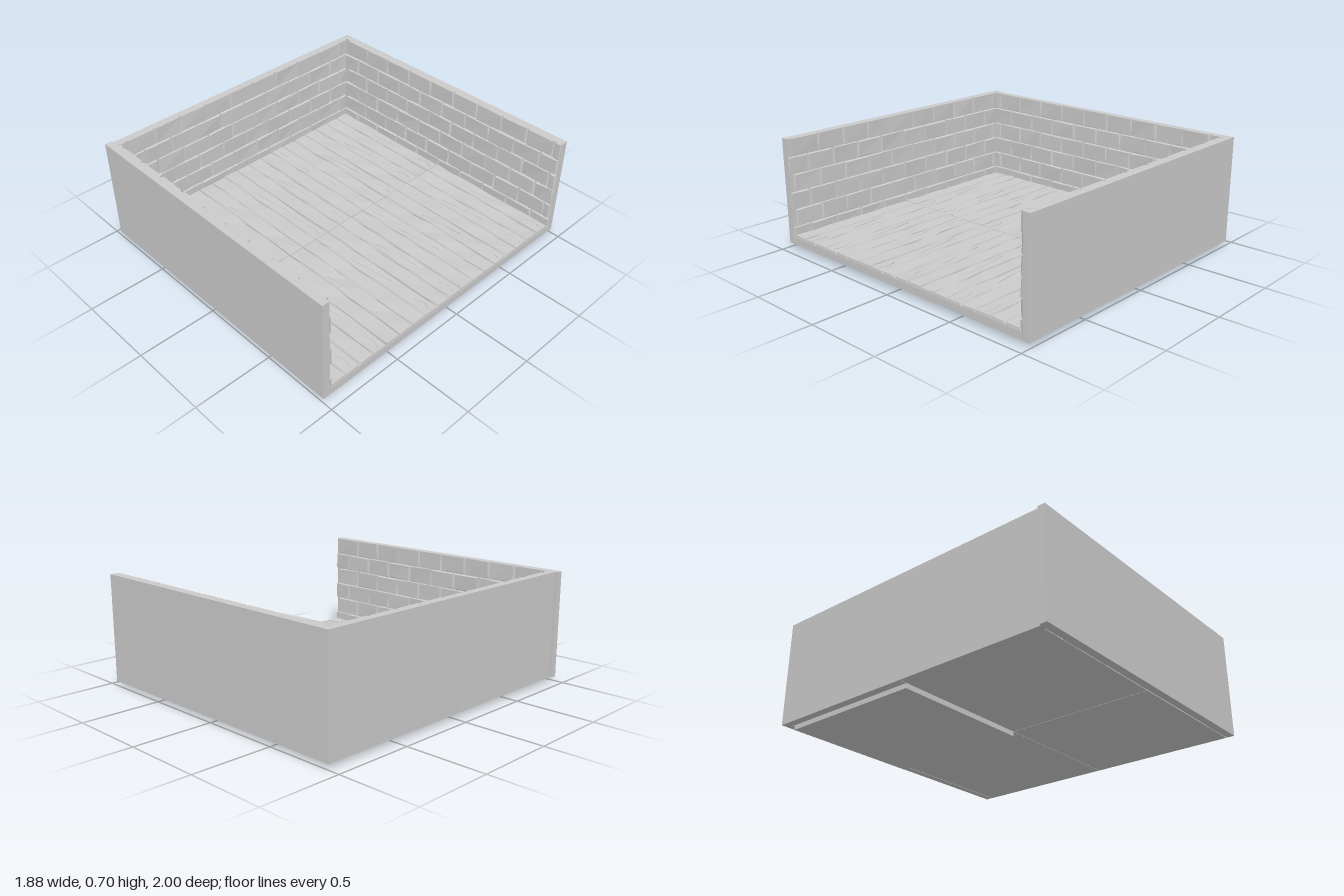
import * as THREE from 'three';
import { mergeGeometries } from 'three/addons/utils/BufferGeometryUtils.js';

const TOP = 0.705, BASE = 0.03;
const material = new THREE.MeshStandardMaterial({ color: 0xcccccc, flatShading: true });

// Small seeded generator, returns -1..1
function seeded(seed) {
  let s = seed;
  return () => {
    s = (s * 16807) % 2147483647;
    return (s / 2147483647) * 2 - 1;
  };
}

function addBox(parent, name, x0, x1, y0, y1, z0, z1) {
  const mesh = new THREE.Mesh(new THREE.BoxGeometry(x1 - x0, y1 - y0, z1 - z0), material);
  mesh.position.set((x0 + x1) / 2, (y0 + y1) / 2, (z0 + z1) / 2);
  mesh.name = name;
  parent.add(mesh);
}

// Rough brick facing +z: outer corners pulled in and shifted unevenly
function brick(x0, x1, y0, y1, depth, rand) {
  const g = new THREE.BoxGeometry(x1 - x0, y1 - y0, depth).toNonIndexed();
  const p = g.attributes.position;
  const corners = [0, 1, 2, 3].map(() => [
    0.006 + 0.005 * rand(), 0.004 + 0.003 * rand(), 0.003 * rand()]);
  for (let i = 0; i < p.count; i++) {
    if (p.getZ(i) < 0) continue;
    const sx = Math.sign(p.getX(i)), sy = Math.sign(p.getY(i));
    const c = corners[(sx > 0 ? 1 : 0) + (sy > 0 ? 2 : 0)];
    const topEdge = y1 > TOP - 0.01 && sy > 0;
    p.setXYZ(i, p.getX(i) - sx * c[0], p.getY(i) - (topEdge ? 0 : sy * c[1]), p.getZ(i) + c[2]);
  }
  g.translate((x0 + x1) / 2, (y0 + y1) / 2, depth / 2);
  return g;
}

// Six courses of running bond along x, clipped to the ends
function brickwork(name, x0, x1, seed) {
  const rand = seeded(seed), parts = [];
  const pitch = 0.195, rowH = (TOP - BASE) / 6, gap = 0.002;
  for (let row = 0; row < 6; row++) {
    const yTop = TOP - row * rowH;
    const shift = row % 2 ? 0 : 0.085;
    for (let k = -6; k <= 6; k++) {
      const a = Math.max(x0, k * pitch + shift + gap);
      const b = Math.min(x1, (k + 1) * pitch + shift - gap);
      if (b - a < 0.03) continue;
      const y1 = row ? yTop - gap : yTop;
      parts.push(brick(a, b, yTop - rowH + gap, y1, 0.015, rand));
    }
  }
  const mesh = new THREE.Mesh(mergeGeometries(parts), material);
  mesh.name = name;
  return mesh;
}

// Plank with wavy long edges and a bevelled, slightly uneven top
function plank(length, width, rand) {
  const n = 7;
  const g = new THREE.BoxGeometry(length, 0.022, width, n, 1, 1);
  const p = g.attributes.position;
  const wave = Array.from({ length: n + 1 }, () => [rand(), rand(), rand(), rand()]);
  for (let i = 0; i < p.count; i++) {
    if (p.getY(i) < 0) continue;
    const w = wave[Math.round((p.getX(i) / length + 0.5) * n)];
    const side = p.getZ(i) > 0 ? 1 : 0;
    p.setZ(i, p.getZ(i) + (side ? -1 : 1) * (0.007 + 0.006 * w[side]));
    p.setY(i, p.getY(i) + 0.003 * w[2 + side]);
    p.setX(i, p.getX(i) * 0.994);
  }
  return g.toNonIndexed();
}

// Thin raised splinter lying along the grain
function splinter(x0, z0, x1, z1) {
  const g = new THREE.BoxGeometry(Math.hypot(x1 - x0, z1 - z0), 0.005, 0.003);
  g.rotateY(-Math.atan2(z1 - z0, x1 - x0));
  g.translate((x0 + x1) / 2, 0.011, (z0 + z1) / 2);
  return g.toNonIndexed();
}

// One column of floor boards, 18 deep
function floorBoards(name, length) {
  const rand = seeded(4711), parts = [], count = 18, pitch = 1.885 / count;
  for (let i = 0; i < count; i++) {
    const pieces = [plank(length, pitch, rand)];
    if (i % 2 === 0) {
      const end = i % 6 === 0 && i > 0 ? -0.38 : 0.38;
      const d = end < 0 ? 0.018 : -0.018;
      pieces.push(
        splinter(-0.17, 0.02, 0.13, -0.012),
        splinter(end - 0.06, 0, end, d),
        splinter(end, d, end + 0.06, 0));
    }
    const z = -0.9425 + (i + 0.5) * pitch;
    pieces.forEach((g) => parts.push(g.translate(0, 0.081, z)));
  }
  const mesh = new THREE.Mesh(mergeGeometries(parts), material);
  mesh.name = name;
  return mesh;
}

export function createModel() {
  const model = new THREE.Group();
  model.name = 'room';

  // Floor: four slabs with fine seams and two columns of boards
  const floor = new THREE.Group();
  floor.name = 'floor';
  const seam = 0.0015, midX = 0.027;
  for (const [x0, x1] of [[-0.89, midX - seam], [midX + seam, 0.94]]) {
    for (const [z0, z1] of [[-0.945, -seam], [seam, 0.945]]) {
      addBox(floor, 'floorSlab', x0, x1, BASE, 0.076, z0, z1);
    }
  }
  for (const [name, x0, x1] of [['rightBoards', -0.885, midX], ['leftBoards', midX, 0.94]]) {
    const boards = floorBoards(name, x1 - x0);
    boards.position.x = (x0 + x1) / 2;
    floor.add(boards);
  }
  // Lower slab beneath one quarter of the floor
  addBox(floor, 'lowerSlab', -0.88, 0.025, 0, BASE + 0.002, -0.94, 0);
  model.add(floor);

  // Walls: smooth outside, bricks inside
  const walls = new THREE.Group();
  walls.name = 'walls';
  addBox(walls, 'frontWall', -0.945, 0.94, BASE, TOP, 0.953, 1);
  addBox(walls, 'backWall', -0.93, 0.94, BASE, TOP, -1, -0.953);
  addBox(walls, 'sideWallBack', -0.93, -0.89, BASE, TOP, -0.953, -seam);
  addBox(walls, 'sideWallFront', -0.93, -0.89, BASE, TOP, seam, 0.953);

  const backBricks = brickwork('backBricks', -0.91, 0.913, 11);
  backBricks.position.set(midX, 0, -0.954);
  const frontBricks = brickwork('frontBricks', -0.913, 0.91, 23);
  frontBricks.rotation.y = Math.PI;
  frontBricks.position.set(midX, 0, 0.954);
  const sideBricks = brickwork('sideBricks', -0.945, 0.945, 37);
  sideBricks.rotation.y = Math.PI / 2;
  sideBricks.position.x = -0.891;
  walls.add(backBricks, frontBricks, sideBricks);
  model.add(walls);

  return model;
}
